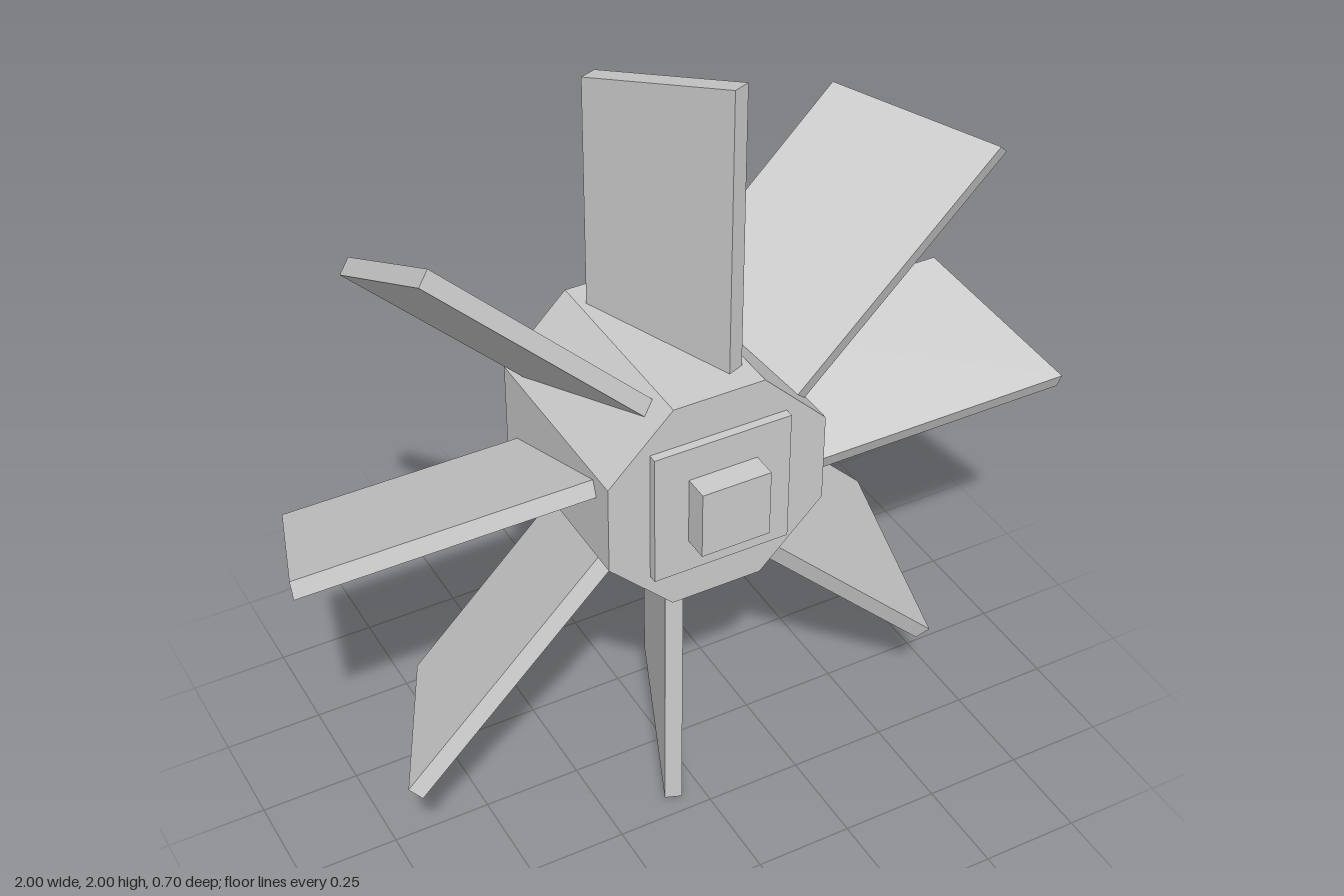
import * as THREE from 'three';

const BLADES = 8;
const PITCH = THREE.MathUtils.degToRad(21.3);

export function createModel() {
  const model = new THREE.Group();
  model.name = 'fanWheel';
  const material = new THREE.MeshStandardMaterial({ color: 0xcccccc, flatShading: true });

  // Everything turns about the axle, one unit above the ground
  const wheel = new THREE.Group();
  wheel.name = 'wheel';
  wheel.position.y = 1;
  model.add(wheel);

  const add = (name, geometry) => {
    const mesh = new THREE.Mesh(geometry, material);
    mesh.name = name;
    wheel.add(mesh);
    return mesh;
  };

  // Octagonal hub with flats at top, bottom and sides
  const hubRadius = 0.28 / Math.cos(Math.PI / 8);
  const hub = new THREE.CylinderGeometry(hubRadius, hubRadius, 0.526, 8);
  hub.rotateY(Math.PI / 8).rotateX(Math.PI / 2);
  add('hub', hub);

  // Square cover plates and axle stubs, front and back
  for (const [side, s] of [['front', 1], ['back', -1]]) {
    add(side + 'Plate', new THREE.BoxGeometry(0.35, 0.35, 0.05)).position.z = s * 0.26;
    add(side + 'Axle', new THREE.BoxGeometry(0.176, 0.176, 0.1)).position.z = s * 0.298;
  }

  // Pitched blade: flat board with a slanted tip, longest at its front edge
  const half = 0.213, thickness = 0.043;
  const outline = new THREE.Shape([
    new THREE.Vector2(-half, 0.2),
    new THREE.Vector2(half, 0.2),
    new THREE.Vector2(half, 1),
    new THREE.Vector2(-half, 0.875),
  ]);
  const blade = new THREE.ExtrudeGeometry(outline, { depth: thickness, bevelEnabled: false });
  blade.translate(0, 0, -thickness / 2).rotateY(PITCH - Math.PI / 2);
  for (let i = 0; i < BLADES; i++) {
    add('blade' + (i + 1), blade).rotation.z = -i * 2 * Math.PI / BLADES;
  }

  return model;
}
